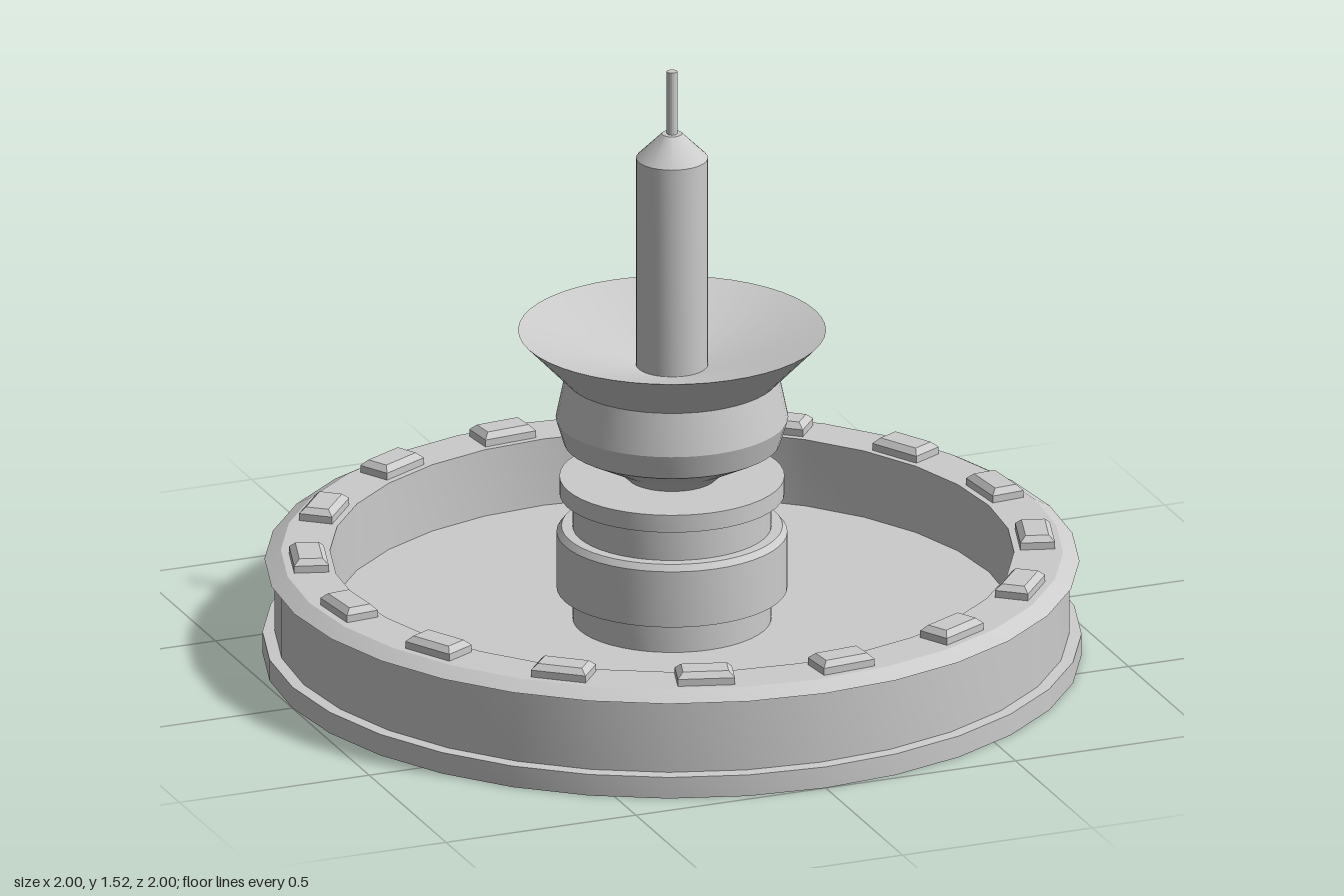
import * as THREE from 'three';
import { toCreasedNormals } from 'three/addons/utils/BufferGeometryUtils.js';

const material = new THREE.MeshStandardMaterial({ color: 0xcccccc });
const flatMaterial = new THREE.MeshStandardMaterial({ color: 0xcccccc, flatShading: true });

// Turned part from [radius, height] pairs, running up the outside
function turned(name, profile, sides = 48) {
  const points = profile.map(([r, y]) => new THREE.Vector2(r, y));
  const geometry = toCreasedNormals(new THREE.LatheGeometry(points, sides), 0.35);
  const mesh = new THREE.Mesh(geometry, material);
  mesh.name = name;
  return mesh;
}

// Small block with a chamfered top edge, resting on y = 0
function lugGeometry(width, height, depth, chamfer) {
  const geometry = new THREE.BoxGeometry(width, height, depth, 1, 2, 1);
  const p = geometry.attributes.position;
  for (let i = 0; i < p.count; i++) {
    const y = p.getY(i);
    if (y > height / 4) {
      p.setX(i, p.getX(i) - Math.sign(p.getX(i)) * chamfer);
      p.setZ(i, p.getZ(i) - Math.sign(p.getZ(i)) * chamfer);
    } else if (y > -height / 4) {
      p.setY(i, height / 2 - chamfer);
    }
  }
  geometry.translate(0, height / 2, 0);
  return geometry;
}

export function createModel() {
  const model = new THREE.Group();
  model.name = 'ringStation';

  // Round tray with a foot lip, a bevelled rim and a sunken floor
  model.add(turned('baseRing', [
    [0, 0], [1, 0], [1, 0.055], [0.97, 0.057], [0.97, 0.245], [0.995, 0.245],
    [0.955, 0.268], [0.835, 0.268], [0.835, 0.095], [0, 0.095],
  ], 32));

  // Lugs around the rim
  const lugs = new THREE.Group();
  lugs.name = 'rimLugs';
  const lug = lugGeometry(0.085, 0.04, 0.14, 0.014);
  for (let i = 0; i < 16; i++) {
    const angle = (i - 0.25) * Math.PI / 8;
    const mesh = new THREE.Mesh(lug, flatMaterial);
    mesh.name = 'rimLug';
    mesh.position.set(0.89 * Math.cos(angle), 0.26, 0.89 * Math.sin(angle));
    mesh.rotation.y = -angle;
    lugs.add(mesh);
  }
  model.add(lugs);

  // Stepped pedestal: foot, collar, neck and flange
  model.add(turned('pedestal', [
    [0.243, 0.09], [0.243, 0.175], [0.282, 0.175], [0.282, 0.32], [0.27, 0.335],
    [0.243, 0.335], [0.243, 0.42], [0.275, 0.42], [0.275, 0.465], [0, 0.465],
  ]));

  // Bulging bowl above the flange
  model.add(turned('bowl', [
    [0, 0.463], [0.108, 0.463], [0.14, 0.492], [0.265, 0.557], [0.284, 0.62], [0.262, 0.726], [0, 0.726],
  ]));

  // Flared dish with a shallow conical inside
  model.add(turned('dish', [[0.262, 0.726], [0.376, 0.845], [0, 0.728]]));

  // Mast with a tapered cap and a thin antenna
  model.add(turned('mast', [[0.088, 0.73], [0.088, 1.295], [0.025, 1.358], [0, 1.358]], 32));
  model.add(turned('antenna', [[0.013, 1.35], [0.013, 1.52], [0, 1.52]], 16));

  return model;
}
